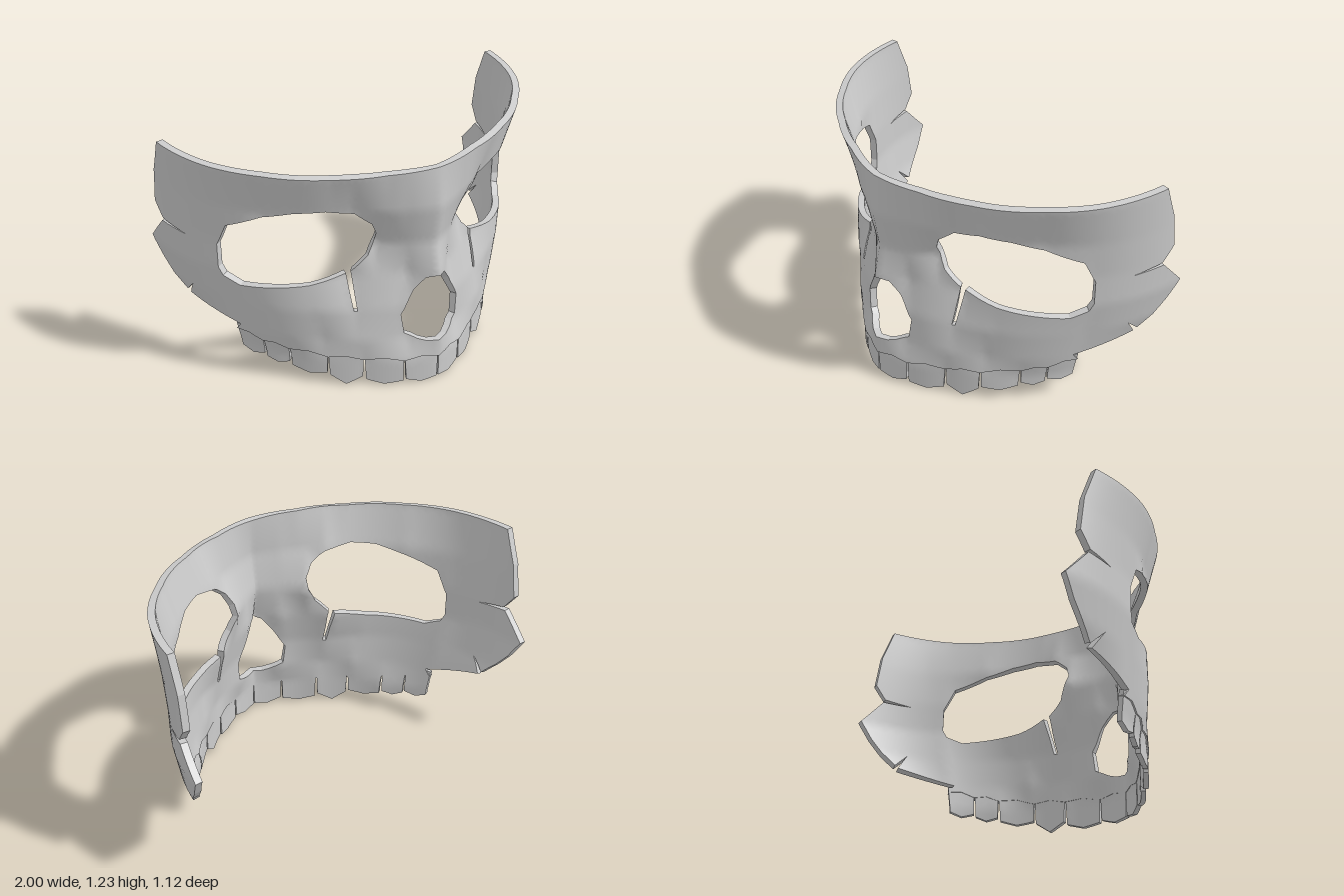
import * as THREE from 'three';

// Plan sections of the outer face at rising heights: [y, x, z, x, z, ...] for the left half.
const SECTIONS = [
  [.15, 0, .553, .34, .385, .62, .13, .78, -.11],
  [.28, 0, .555, .14, .47, .5, .26, .79, -.08, .88, -.38],
  [.45, 0, .53, .165, .455, .36, .345, .55, .24, .83, -.1, .955, -.45],
  [.63, 0, .545, .12, .43, .365, .285, .72, .1, .87, -.11, 1, -.55],
  [.8, 0, .505, .24, .325, .5, .25, .86, -.09, 1, -.47],
  [1, 0, .535, .15, .475, .36, .345, .72, .1, .93, -.18, 1, -.46],
  [1.23, 0, .52, .25, .465, .5, .36, .75, .165, .91, -.05, 1, -.38],
];
const CZ = -.2, EPS = .03, MAX = .05;
const angle = (x, z) => Math.atan2(x, z - CZ);
const rows = SECTIONS.map(([y, ...p]) => {
  const pts = [];
  for (let i = 0; i < p.length; i += 2) pts.push([angle(p[i], p[i + 1]), Math.hypot(p[i], p[i + 1] - CZ)]);
  return { y, pts };
});

function rowRadius(pts, t) {
  let i = 0;
  while (i < pts.length - 2 && t > pts[i + 1][0]) i++;
  const [a, ra] = pts[i], [b, rb] = pts[i + 1];
  return ra + (rb - ra) * (t - a) / (b - a);
}

// Point of the face at an angle round the head and a height
function point(t, y) {
  const a = Math.abs(t);
  let i = 0;
  while (i < rows.length - 2 && y > rows[i + 1].y) i++;
  const k = THREE.MathUtils.clamp((y - rows[i].y) / (rows[i + 1].y - rows[i].y), 0, 1);
  const r = THREE.MathUtils.lerp(rowRadius(rows[i].pts, a), rowRadius(rows[i + 1].pts, a), k);
  return new THREE.Vector3(r * Math.sin(t), y, CZ + r * Math.cos(t));
}

function normal(t, y) {
  const dt = point(t + EPS, y).sub(point(t - EPS, y));
  const dy = point(t, y + EPS).sub(point(t, y - EPS));
  return dt.cross(dy).normalize();
}

// Outline points given as seen from the front (x, y) or from the side (z, y)
function fromFront([x, y]) {
  let low = 0, high = 1.7;
  for (let i = 0; i < 30 && x > 0; i++) {
    const t = (low + high) / 2;
    if (point(t, y).x < x) low = t;
    else high = t;
  }
  return new THREE.Vector2(low, y);
}
const fromSide = ([z, y]) => new THREE.Vector2(angle(.97, z), y);

const length = (a, b) => Math.hypot((a.x - b.x) * .8, a.y - b.y);
const middle = (a, b) => a.clone().add(b).multiplyScalar(.5);

// Curved plate cut from the face: outline and holes are (angle, height) points.
function shell(outline, holes, outer, thickness, side) {
  const pos = [], nor = [], inner = outer + thickness;
  const at = (p, depth) => point(p.x, p.y).addScaledVector(normal(p.x, p.y), -depth);
  const tri = (v, n) => {
    for (const i of side > 0 ? [0, 1, 2] : [0, 2, 1]) {
      pos.push(v[i].x * side, v[i].y, v[i].z);
      nor.push(n[i].x * side, n[i].y, n[i].z);
    }
  };
  // front and back skins, halved until they follow the curve
  const fill = (a, b, c) => {
    const ab = length(a, b), bc = length(b, c), ca = length(c, a), m = Math.max(ab, bc, ca);
    if (m > MAX) {
      if (bc === m) [a, b, c] = [b, c, a];
      else if (ca === m) [a, b, c] = [c, a, b];
      const h = middle(a, b);
      fill(a, h, c);
      fill(h, b, c);
      return;
    }
    const n = [a, b, c].map(p => normal(p.x, p.y));
    tri([a, b, c].map(p => at(p, outer)), n);
    tri([a, c, b].map(p => at(p, inner)), [n[0], n[2], n[1]].map(q => q.clone().negate()));
  };
  // cut edges
  const wall = (a, b) => {
    if (length(a, b) > MAX) {
      const h = middle(a, b);
      wall(a, h);
      wall(h, b);
      return;
    }
    const A = at(a, outer), B = at(b, outer), A2 = at(a, inner), B2 = at(b, inner);
    const n = A2.clone().sub(A).cross(B.clone().sub(A)).normalize();
    tri([A, A2, B], [n, n, n]);
    tri([B, A2, B2], [n, n, n]);
  };
  if (THREE.ShapeUtils.isClockWise(outline)) outline.reverse();
  holes.forEach(h => { if (!THREE.ShapeUtils.isClockWise(h)) h.reverse(); });
  const all = [outline, ...holes].flat();
  for (const [i, j, k] of THREE.ShapeUtils.triangulateShape(outline, holes)) {
    const a = all[i], b = all[j], c = all[k];
    if (THREE.ShapeUtils.area([a, b, c]) > 0) fill(a, b, c);
    else fill(a, c, b);
  }
  for (const ring of [outline, ...holes]) ring.forEach((a, i) => {
    const b = ring[(i + 1) % ring.length];
    if (a.x + b.x > 1e-6) wall(a, b); // no wall on the centre line
  });
  const g = new THREE.BufferGeometry();
  g.setAttribute('position', new THREE.Float32BufferAttribute(pos, 3));
  g.setAttribute('normal', new THREE.Float32BufferAttribute(nor, 3));
  return g;
}

// Teeth: border angles, lowest points, and a gum line that rises backwards
const BORDERS = [0, .17, .34, .49, .62, .705, .775].map(x => fromFront([x, .15]).x);
const TIPS = [.008, .01, .008, .06, .088, .112];
const gumHeight = i => .15 + .1 * (i / 6) ** 2 + (i % 1 ? .018 : 0);

function maskOutline() {
  const brow = [[0, 1.21], [.5, 1.215]].map(fromFront);
  const wings = [
    [-.38, 1.237], [-.445, 1.06], [-.47, .88], [-.415, .8], // temple wing
    [-.265, .773], [-.425, .783], // side notch
    [-.55, .64], [-.5, .535], [-.445, .455], // cheek wing
    [-.385, .38], [-.3, .455], [-.37, .365], // lower slit
  ].map(fromSide);
  const gum = [fromFront([.785, .29])];
  for (let i = 6; i > 0; i--) {
    gum.push(new THREE.Vector2(BORDERS[i], gumHeight(i)));
    gum.push(new THREE.Vector2((BORDERS[i] + BORDERS[i - 1]) / 2, gumHeight(i - .5)));
  }
  const nose = [[0, .15], [0, .25], [.06, .252], [.1, .267], [.155, .3], [.168, .41], [.105, .54], [.055, .61], [0, .627]];
  return [...brow, ...wings, ...gum, ...nose.map(fromFront)];
}

// Eye opening with the narrow slot under it
const eye = () => [
  [.24, .8], [.245, .85], [.28, .92], [.36, .99], [.49, 1.02], [.61, 1.01], [.72, .97], [.84, .895], [.865, .77],
  [.865, .64], [.85, .595], [.8, .56], [.545, .595], [.376, .635], [.368, .44], [.354, .44], [.356, .645], [.28, .73],
].map(fromFront);

function toothOutline(i) {
  const rise = i === 2 ? .045 : .015;
  const at = (k, y) => new THREE.Vector2(THREE.MathUtils.lerp(BORDERS[i], BORDERS[i + 1], k), y);
  return [
    at(.01, gumHeight(i) + .03), at(.03, TIPS[i] + rise), at(.5, TIPS[i]), at(.95, TIPS[i] + rise + .01),
    at(.99, gumHeight(i + 1) + .03), at(.5, gumHeight(i + .5) + .03),
  ];
}

export function createModel() {
  const bone = new THREE.MeshStandardMaterial({ color: 0xcccccc });
  bone.name = 'bone grey';
  const model = new THREE.Group();
  model.name = 'skullMask';
  for (const [side, label] of [[1, 'left'], [-1, 'right']]) {
    const add = (name, geometry) => {
      const mesh = new THREE.Mesh(geometry, bone);
      mesh.name = name;
      model.add(mesh);
    };
    add(label + 'FaceShell', shell(maskOutline(), [eye()], 0, .036, side));
    for (let i = 0; i < 6; i++) add(label + 'Tooth' + (i + 1), shell(toothOutline(i), [], .008, .025, side));
  }
  return model;
}
